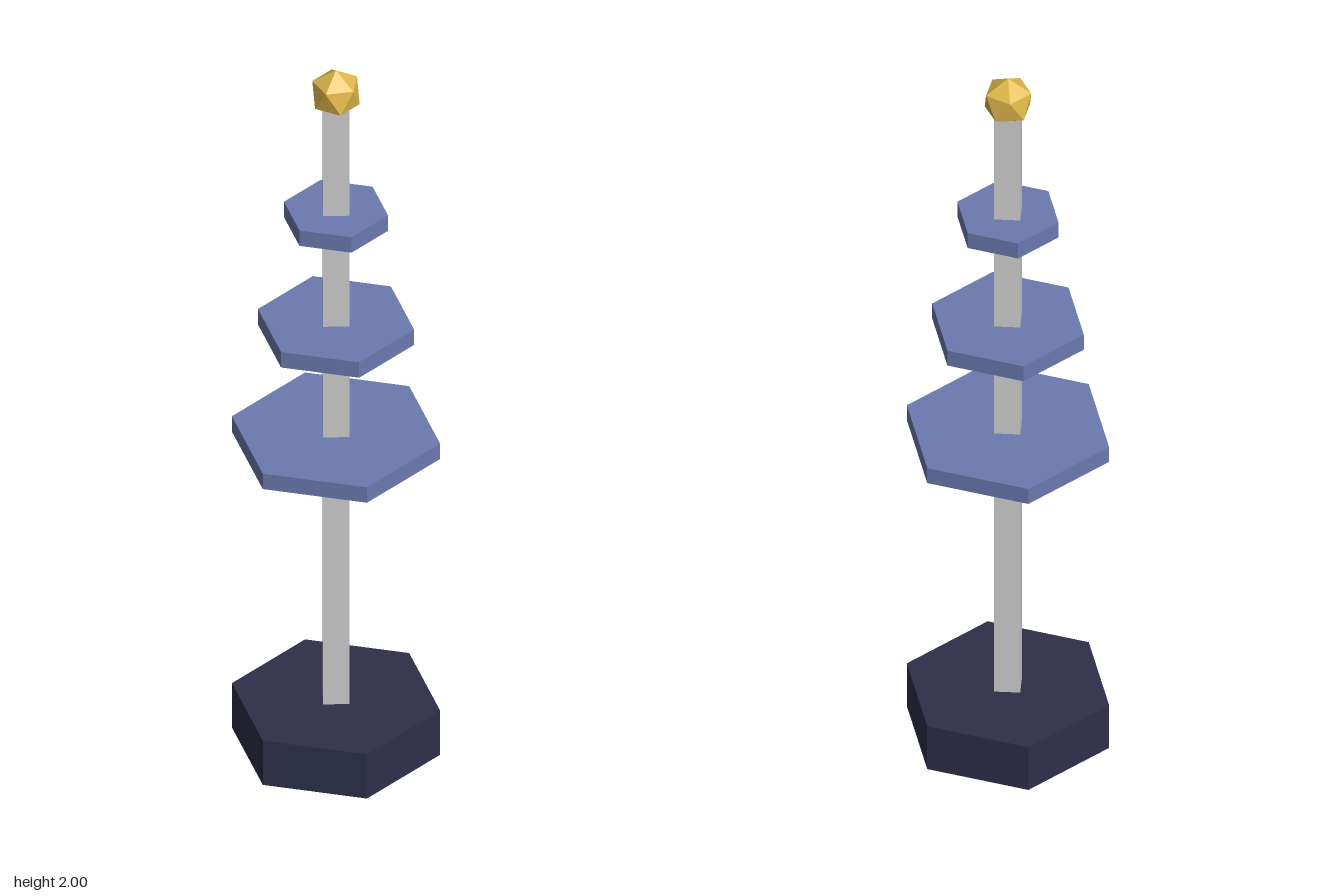
import * as THREE from 'three';

const material = (color) => new THREE.MeshStandardMaterial({ color, flatShading: true });

// Upright prism with a corner facing front, standing on y = bottom
function prism(name, radius, height, sides, bottom, mat) {
  const mesh = new THREE.Mesh(new THREE.CylinderGeometry(radius, radius, height, sides), mat);
  mesh.position.y = bottom + height / 2;
  mesh.name = name;
  return mesh;
}

export function createModel() {
  const model = new THREE.Group();
  model.name = 'tieredSpire';

  // Hexagonal base and square pole
  model.add(prism('base', 0.264, 0.132, 6, 0, material(0x2e3049)));
  model.add(prism('pole', 0.046, 1.768, 4, 0.132, material(0xcccccc)));

  // Three hexagonal discs, shrinking upward
  const discMaterial = material(0x6b7ab0);
  for (let i = 0; i < 3; i++) {
    model.add(prism(`disc${i + 1}`, 0.264 - 0.066 * i, 0.046, 6, 0.882 + 0.33 * i, discMaterial));
  }

  // Faceted finial, turned so one vertex points straight up
  const finial = new THREE.Mesh(new THREE.IcosahedronGeometry(0.066, 0), material(0xe0b84a));
  finial.name = 'finial';
  finial.rotation.z = -Math.atan(2 / (1 + Math.sqrt(5)));
  finial.position.y = 1.934;
  model.add(finial);

  return model;
}
